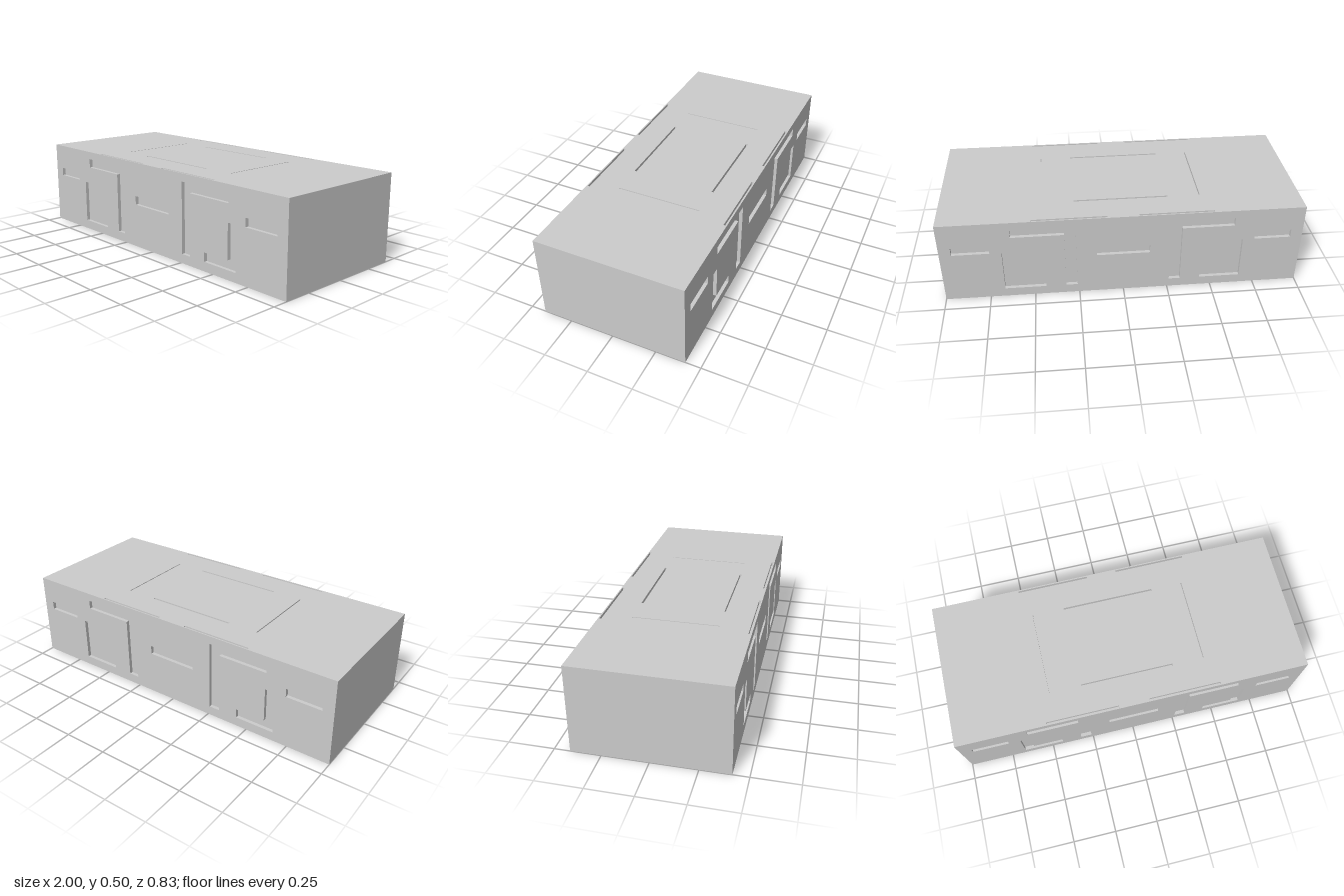
import * as THREE from 'three';
import { mergeGeometries } from 'three/addons/utils/BufferGeometryUtils.js';

const W = 2, H = 0.5, D = 0.83, DEPTH = 0.02;

const rect = (x0, y0, x1, y1) => [[x0, y0], [x1, y0], [x1, y1], [x0, y1]];
const mirrorX = (pts) => pts.map(([x, y]) => [-x, y]);
const mirrorY = (pts) => pts.map(([x, y]) => [x, -y]);

// Counter-clockwise Vector2 loop
function loop(pts) {
  const v = pts.map(([x, y]) => new THREE.Vector2(x, y));
  return THREE.ShapeUtils.isClockWise(v) ? v.reverse() : v;
}

// Flat face in the xy plane with grooves sunk towards -z
function carvedFace(outline, grooves) {
  const face = new THREE.Shape(loop(outline));
  const pieces = [];
  const walls = [];
  for (const groove of grooves) {
    const pts = loop(groove);
    face.holes.push(new THREE.Path(pts));
    pieces.push(new THREE.ShapeGeometry(new THREE.Shape(pts)).translate(0, 0, -DEPTH));
    pts.forEach((a, i) => {
      const b = pts[(i + 1) % pts.length];
      walls.push(a.x, a.y, 0, b.x, b.y, 0, b.x, b.y, -DEPTH);
      walls.push(a.x, a.y, 0, b.x, b.y, -DEPTH, a.x, a.y, -DEPTH);
    });
  }
  pieces.push(new THREE.ShapeGeometry(face));
  const wallGeometry = new THREE.BufferGeometry();
  wallGeometry.setAttribute('position', new THREE.Float32BufferAttribute(walls, 3));
  wallGeometry.computeVertexNormals();
  const flat = pieces.map((g) => g.toNonIndexed().deleteAttribute('uv'));
  return mergeGeometries([...flat, wallGeometry]);
}

export function createModel() {
  const group = new THREE.Group();
  const material = new THREE.MeshStandardMaterial({ color: 0xcccccc, flatShading: true });
  const add = (name, geometry) => {
    const mesh = new THREE.Mesh(geometry, material);
    mesh.name = name;
    group.add(mesh);
  };

  // Angular fret pattern for the long faces
  const half = [
    rect(0.73, 0.305, 0.935, 0.353),
    [[0.26, 0.053], [0.323, 0.053], [0.323, 0.403], [0.612, 0.403], [0.612, 0.455], [0.26, 0.455]],
    [[0.436, 0.053], [0.666, 0.053], [0.666, 0.303], [0.609, 0.303], [0.609, 0.105], [0.436, 0.105]],
  ];
  const fret = [...half, ...half.map(mirrorX), rect(-0.147, 0.252, 0.147, 0.303)];
  const longFace = carvedFace(rect(-W / 2, 0, W / 2, H), fret);
  add('frontFace', longFace.clone().translate(0, 0, D / 2));
  add('backFace', longFace.clone().translate(0, 0, D / 2).rotateY(Math.PI));

  // Thin slots on the top
  const edgeSlot = rect(0.086, 0.397, 0.494, 0.408);
  const innerSlot = rect(-0.262, 0.231, 0.262, 0.242);
  const endSlot = rect(0.437, -0.238, 0.443, 0.238);
  const slots = [
    edgeSlot, mirrorX(edgeSlot), mirrorY(edgeSlot), mirrorY(mirrorX(edgeSlot)),
    innerSlot, mirrorY(innerSlot), endSlot, mirrorX(endSlot),
  ];
  add('topFace', carvedFace(rect(-W / 2, -D / 2, W / 2, D / 2), slots)
    .rotateX(-Math.PI / 2).translate(0, H, 0));

  // Plain ends and underside
  for (const [name, side] of [['leftEnd', 1], ['rightEnd', -1]]) {
    add(name, new THREE.PlaneGeometry(D, H).rotateY(side * Math.PI / 2).translate(side * W / 2, H / 2, 0));
  }
  add('underside', new THREE.PlaneGeometry(W, D).rotateX(Math.PI / 2));

  return group;
}
